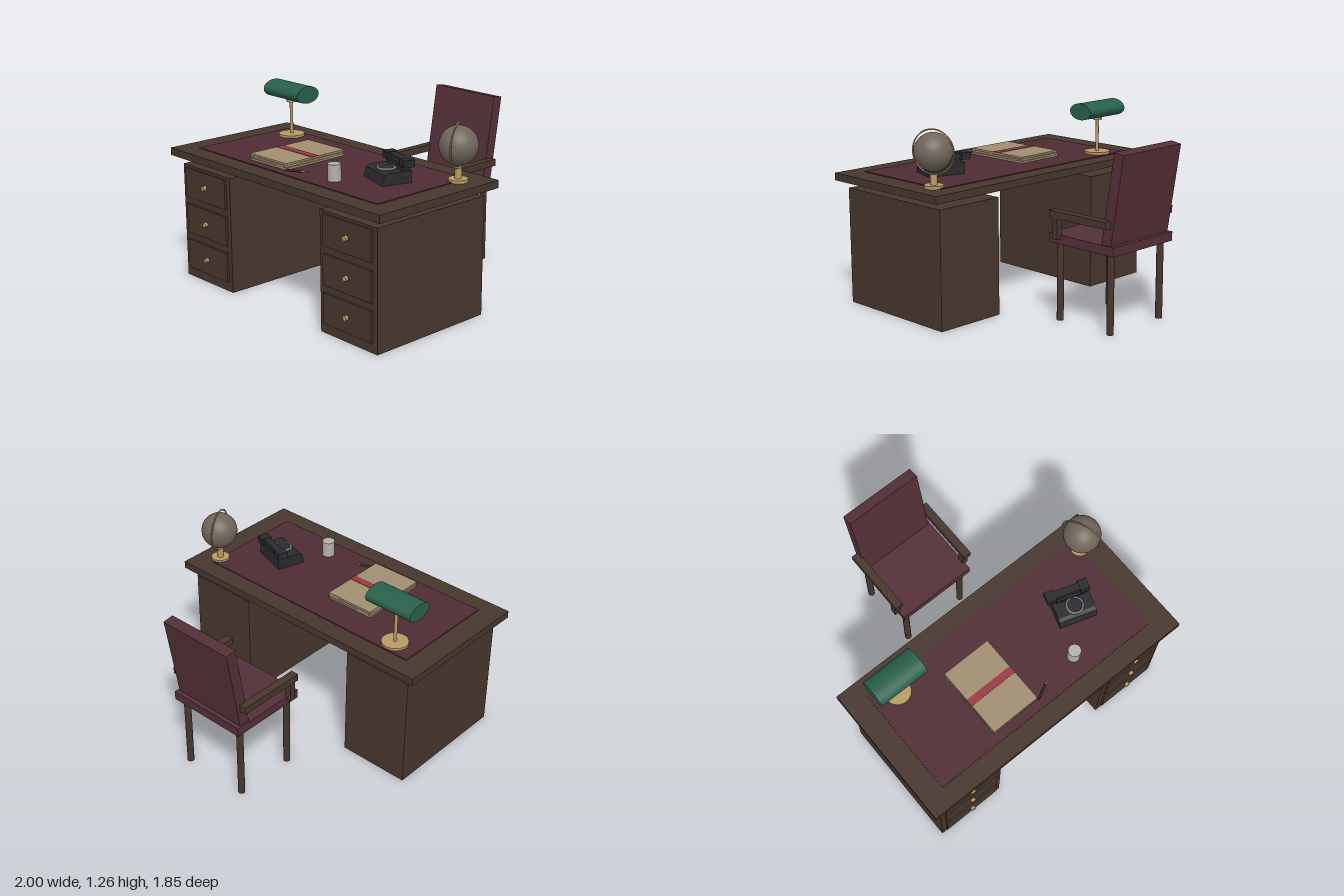
import * as THREE from 'three';

const mat = (color) => new THREE.MeshStandardMaterial({ color });
const wood = mat(0x46362d), leather = mat(0x532f37), pad = mat(0x4e2c33), brass = mat(0xb89b64);
const green = mat(0x27604a), paper = mat(0xa08e70), red = mat(0x963843), black = mat(0x2a2a2e);
const dialGrey = mat(0x77777a), globeMat = mat(0x70665b), ceramic = mat(0xb4b0aa);

function add(parent, name, geometry, material, x = 0, y = 0, z = 0) {
  const mesh = new THREE.Mesh(geometry, material);
  mesh.name = name;
  mesh.position.set(x, y, z);
  parent.add(mesh);
  return mesh;
}
const box = (w, h, d) => new THREE.BoxGeometry(w, h, d);
const cyl = (r, h, n = 24, r2 = r) => new THREE.CylinderGeometry(r2, r, h, n);

function group(parent, name, x = 0, y = 0, z = 0) {
  const g = new THREE.Group();
  g.name = name;
  g.position.set(x, y, z);
  parent.add(g);
  return g;
}

const TOP = 0.884; // height of the desk surface

function buildDesk(root) {
  const desk = group(root, 'desk');
  add(desk, 'deskTop', box(2, 0.05, 1), wood, 0, TOP - 0.025, 0.425);
  add(desk, 'blotter', box(1.7, 0.006, 0.75), pad, 0, TOP + 0.003, 0.425);
  for (const s of [-1, 1]) {
    const pedestal = group(desk, s > 0 ? 'leftPedestal' : 'rightPedestal', s * 0.683, 0, 0);
    add(pedestal, 'cabinet', box(0.494, 0.78, 0.9), wood, 0, 0.39, 0.425);
    for (const y of [0.166, 0.415, 0.664]) {
      add(pedestal, 'drawerFront', box(0.42, 0.2, 0.015), wood, 0, y, 0.882);
      add(pedestal, 'drawerKnob', cyl(0.016, 0.022, 16), brass, 0, y, 0.899).rotation.x = Math.PI / 2;
    }
  }
}

function buildChair(root) {
  const chair = group(root, 'chair');
  add(chair, 'seat', box(0.564, 0.06, 0.54), leather, 0, 0.545, -0.592);
  add(chair, 'backrest', box(0.54, 0.6, 0.075), leather, 0, 0.857, -0.839).rotation.x = -0.16;
  for (const s of [-1, 1]) {
    add(chair, 'armrest', box(0.055, 0.047, 0.475), wood, s * 0.289, 0.71, -0.592);
    add(chair, 'armPost', box(0.045, 0.14, 0.043), wood, s * 0.29, 0.62, -0.402);
    for (const z of [-0.378, -0.803])
      add(chair, 'chairLeg', cyl(0.023, 0.515, 12), wood, s * 0.235, 0.2575, z);
  }
}

function buildLamp(root) {
  const lamp = group(root, 'deskLamp', -0.683, TOP, 0.145);
  add(lamp, 'lampBase', cyl(0.088, 0.02, 32), brass, 0, 0.012, 0);
  add(lamp, 'lampStem', cyl(0.011, 0.25, 16), brass, 0, 0.13, 0);
  add(lamp, 'lampCollar', cyl(0.032, 0.016, 20), brass, 0, 0.25, 0);
  // oval shade lying along x
  const shade = cyl(0.095, 0.352, 40).rotateZ(Math.PI / 2).scale(1, 0.6, 1);
  add(lamp, 'lampShade', shade, green, 0, 0.314, 0);
}

function buildGlobe(root) {
  const globe = group(root, 'globe', 0.846, TOP, 0.121);
  add(globe, 'globeBase', cyl(0.062, 0.02, 32), brass, 0, 0.01, 0);
  add(globe, 'globeStem', cyl(0.022, 0.07, 16), brass, 0, 0.052, 0);
  add(globe, 'globeBall', new THREE.SphereGeometry(0.122, 40, 28), globeMat, 0, 0.226, 0);
  add(globe, 'meridianRing', new THREE.TorusGeometry(0.141, 0.005, 10, 64), brass, 0, 0.226, 0).rotation.y = -1.18;
}

function buildTelephone(root) {
  const phone = group(root, 'telephone', 0.535, TOP + 0.004, 0.412);
  phone.rotation.y = -0.31;
  // side profile of the body, swept across its width
  const side = new THREE.Shape([[-0.1, 0], [0.1, 0], [0.085, 0.066], [0.06, 0.076], [-0.1, 0.078]]
    .map(([z, y]) => new THREE.Vector2(z, y)));
  const body = new THREE.ExtrudeGeometry(side, { depth: 0.255, bevelEnabled: false });
  body.translate(0, 0, -0.1275).rotateY(-Math.PI / 2);
  add(phone, 'phoneBody', body, black);
  add(phone, 'dial', cyl(0.05, 0.012), black, 0.005, 0.08, 0.012);
  add(phone, 'dialRing', new THREE.TorusGeometry(0.054, 0.008, 8, 32), dialGrey, 0.005, 0.082, 0.012).rotation.x = Math.PI / 2;
  add(phone, 'cradle', box(0.2, 0.03, 0.06), black, 0, 0.088, -0.07);
  add(phone, 'handsetBar', box(0.22, 0.035, 0.05), black, -0.015, 0.122, -0.08);
  for (const s of [-1, 1])
    add(phone, 'handsetEnd', box(0.06, 0.045, 0.075), black, -0.015 + s * 0.115, 0.12, -0.08);
}

function buildDeskItems(root) {
  // stacked folders, each turned slightly
  const papers = group(root, 'folderStack', -0.213, TOP + 0.006, 0.493);
  [0.02, -0.018, 0.006].forEach((turn, i) => {
    add(papers, 'folder', box(0.35, 0.012, 0.49), paper, 0, 0.007 + i * 0.015, 0).rotation.y = turn;
  });
  add(papers, 'ribbon', box(0.354, 0.004, 0.052), red, 0, 0.044, 0.002).rotation.y = 0.006;

  const cup = [[0, 0], [0.042, 0], [0.042, 0.108], [0.038, 0.108], [0.036, 0.1], [0, 0.1]];
  const cupGeo = new THREE.CylinderGeometry(0.042, 0.042, 0.108, 32);
  add(root, 'cup', cupGeo, ceramic, 0.329, TOP + 0.058, 0.661);

  // pen lying along its local x axis
  const pen = group(root, 'pen', 0.04, TOP + 0.012, 0.708);
  pen.rotation.y = 0.44;
  add(pen, 'penBarrel', cyl(0.007, 0.11, 12).rotateZ(-Math.PI / 2), black, -0.022, 0, 0);
  add(pen, 'penNib', cyl(0.007, 0.045, 12, 0.001).rotateZ(-Math.PI / 2), brass, 0.055, 0, 0);
}

export function createModel() {
  const root = new THREE.Group();
  root.name = 'writingDeskSet';
  buildDesk(root);
  buildChair(root);
  buildLamp(root);
  buildGlobe(root);
  buildTelephone(root);
  buildDeskItems(root);
  return root;
}
